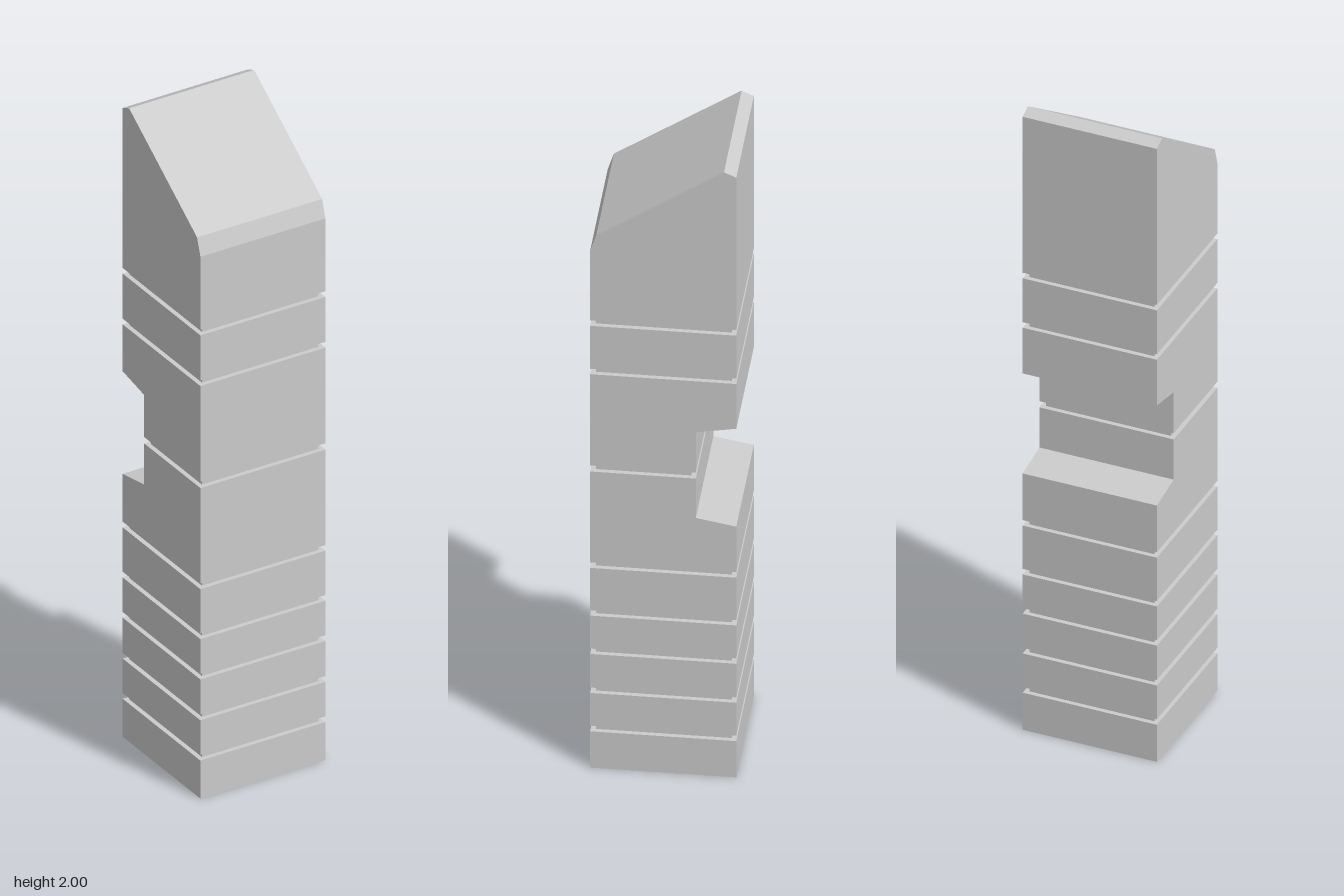
import * as THREE from 'three';

const H = 0.202; // half width of the square column
const INSET = 0.014; // groove depth

export function createModel() {
  const group = new THREE.Group();
  const material = new THREE.MeshStandardMaterial({ color: 0xcccccc, flatShading: true });

  // Extrudes a (z, y) side profile across x, centred
  function slab(name, profile, halfWidth = H) {
    const shape = new THREE.Shape(profile.map(([z, y]) => new THREE.Vector2(z, y)));
    const geometry = new THREE.ExtrudeGeometry(shape, { depth: 2 * halfWidth, bevelEnabled: false });
    geometry.rotateY(-Math.PI / 2).translate(halfWidth, 0, 0);
    const mesh = new THREE.Mesh(geometry, material);
    mesh.name = name;
    group.add(mesh);
  }
  const rect = (y0, y1, back = -H, front = H) => [[back, y0], [front, y0], [front, y1], [back, y1]];

  // Plain square blocks
  const plain = [[0, 0.12], [0.138, 0.247], [0.265, 0.376], [0.394, 0.503], [0.521, 0.661], [1.32, 1.462]];
  plain.forEach(([y0, y1], i) => slab(`block${i + 1}`, rect(y0, y1)));

  // Two blocks sharing the notch in the back
  slab('lowerNotchBlock', [[-H, 0.679], [H, 0.679], [H, 0.98], [-0.09, 0.98], [-0.09, 0.85], [-H, 0.83]]);
  slab('upperNotchBlock', [[-0.09, 1], [H, 1], [H, 1.302], [-H, 1.302], [-H, 1.154], [-0.09, 1.133]]);

  // Sloping cap with small chamfers front and back
  slab('slopedCap', [[-H, 1.48], [H, 1.48], [H, 1.71], [0.185, 1.763], [-0.168, 2], [-H, 1.985]]);

  // Recessed cores that form the grooves between blocks
  const grooves = [[0.12, 0.138], [0.247, 0.265], [0.376, 0.394], [0.503, 0.521], [0.661, 0.679],
    [0.98, 1, -0.09], [1.302, 1.32], [1.462, 1.48]];
  grooves.forEach(([y0, y1, back = -H], i) =>
    slab(`groove${i + 1}`, rect(y0, y1, back + INSET, H - INSET), H - INSET));

  return group;
}
